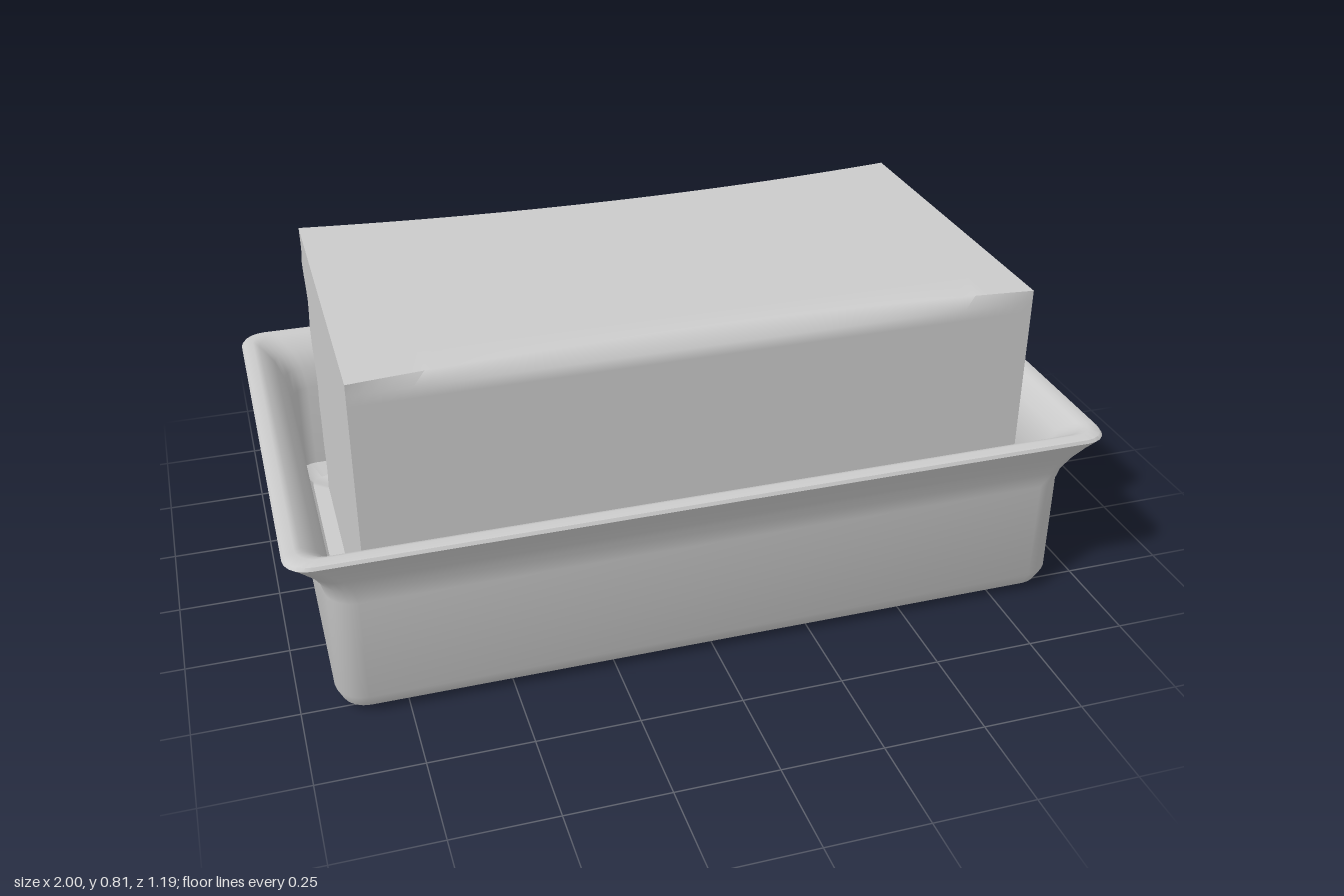
import * as THREE from 'three';
import { toCreasedNormals } from 'three/addons/utils/BufferGeometryUtils.js';

const material = new THREE.MeshStandardMaterial({ color: 0xcccccc });

// Corner-rounded rectangle in the xz plane
function ring(hx, hz, r, y, steps = 5) {
  const points = [];
  for (let c = 0; c < 4; c++) {
    const sx = c === 0 || c === 3 ? 1 : -1;
    const sz = c < 2 ? 1 : -1;
    for (let i = 0; i <= steps; i++) {
      const a = (c + i / steps) * Math.PI / 2;
      points.push([sx * (hx - r) + r * Math.cos(a), y, sz * (hz - r) + r * Math.sin(a)]);
    }
  }
  return points;
}

// Skin a closed surface through successive rings
function skin(rings) {
  const n = rings[0].length;
  const index = [];
  for (let i = 0; i < rings.length - 1; i++) {
    for (let j = 0; j < n; j++) {
      const a = i * n + j, b = i * n + (j + 1) % n;
      index.push(a, a + n, b, b, a + n, b + n);
    }
  }
  const g = new THREE.BufferGeometry();
  g.setAttribute('position', new THREE.Float32BufferAttribute(rings.flat(2), 3));
  g.setIndex(index);
  return toCreasedNormals(g, 0.7);
}

function createTray() {
  // half width, half depth, corner radius, height: outside upwards, then inside downwards
  const profile = [
    [0.37, 0, 0, 0],
    [0.86, 0.49, 0.03, 0],
    [0.90, 0.535, 0.06, 0.018],
    [0.915, 0.553, 0.07, 0.055],
    [0.915, 0.553, 0.07, 0.32],
    [0.925, 0.56, 0.07, 0.36],
    [0.945, 0.572, 0.07, 0.395],
    [0.98, 0.585, 0.07, 0.43],
    [1.0, 0.594, 0.06, 0.452],
    [0.995, 0.59, 0.06, 0.46],
    [0.97, 0.57, 0.05, 0.466],
    [0.955, 0.555, 0.05, 0.46],
    [0.92, 0.52, 0.05, 0.425],
    [0.90, 0.503, 0.05, 0.38],
    [0.89, 0.495, 0.05, 0.32],
    [0.89, 0.495, 0.05, 0.08],
    [0.86, 0.465, 0.04, 0.05],
    [0.37, 0, 0, 0.05],
  ];
  const mesh = new THREE.Mesh(skin(profile.map((p) => ring(...p))), material);
  mesh.name = 'tray';
  return mesh;
}

const bell = (d, w) => Math.exp(-(d * d) / (w * w));

// Depth of the torn back face: concave top edge, undercut and two sloping ridges
function tornBack(x, y) {
  const t = x / 0.82;
  const below = THREE.MathUtils.smoothstep(0.815 - y, 0, 0.12);
  const edge = -0.445 + 0.055 * (1 - t * t);
  const wave = 0.025 * Math.sin(9 * x);
  const upper = (0.0625 - 0.0175 * t) * bell(y - (0.61 - 0.09 * t + wave * (1 - t * t)), 0.055);
  const lower = 0.045 * bell(y - (0.43 - 0.06 * t - wave), 0.06);
  const lump = 0.05 * bell(x + 0.3, 0.12) * bell(y - 0.71, 0.05);
  const rough = 0.008 * Math.sin(17 * x + 23 * y) + 0.006 * Math.sin(31 * x - 47 * y + 1);
  return edge + below * (0.05 + rough - upper - lower - lump);
}

function createBlock() {
  const bottom = 0.05, top = 0.815;
  const g = new THREE.BoxGeometry(1.64, top - bottom, 0.9, 56, 28, 8);
  g.translate(0, (top + bottom) / 2, 0);
  const p = g.attributes.position;
  for (let i = 0; i < p.count; i++) {
    const x = p.getX(i), y = p.getY(i), z = p.getZ(i);
    const middle = 1 - (x / 0.82) ** 2;
    if (z < -0.449) {
      p.setZ(i, tornBack(x, y));
      // Ragged flap sticking out at one end
      if (x > 0.819) p.setX(i, x + 0.035 * bell(y - 0.5, 0.05));
    }
    // Front upper edge eased back in the middle
    if (z > 0.449 && y > top - 0.001) p.setZ(i, z - 0.045 * middle);
  }
  g.deleteAttribute('uv');
  const mesh = new THREE.Mesh(toCreasedNormals(g, 1.05), material);
  mesh.name = 'tornBlock';
  return mesh;
}

export function createModel() {
  const model = new THREE.Group();
  model.name = 'blockInTray';
  model.add(createTray(), createBlock());
  return model;
}
